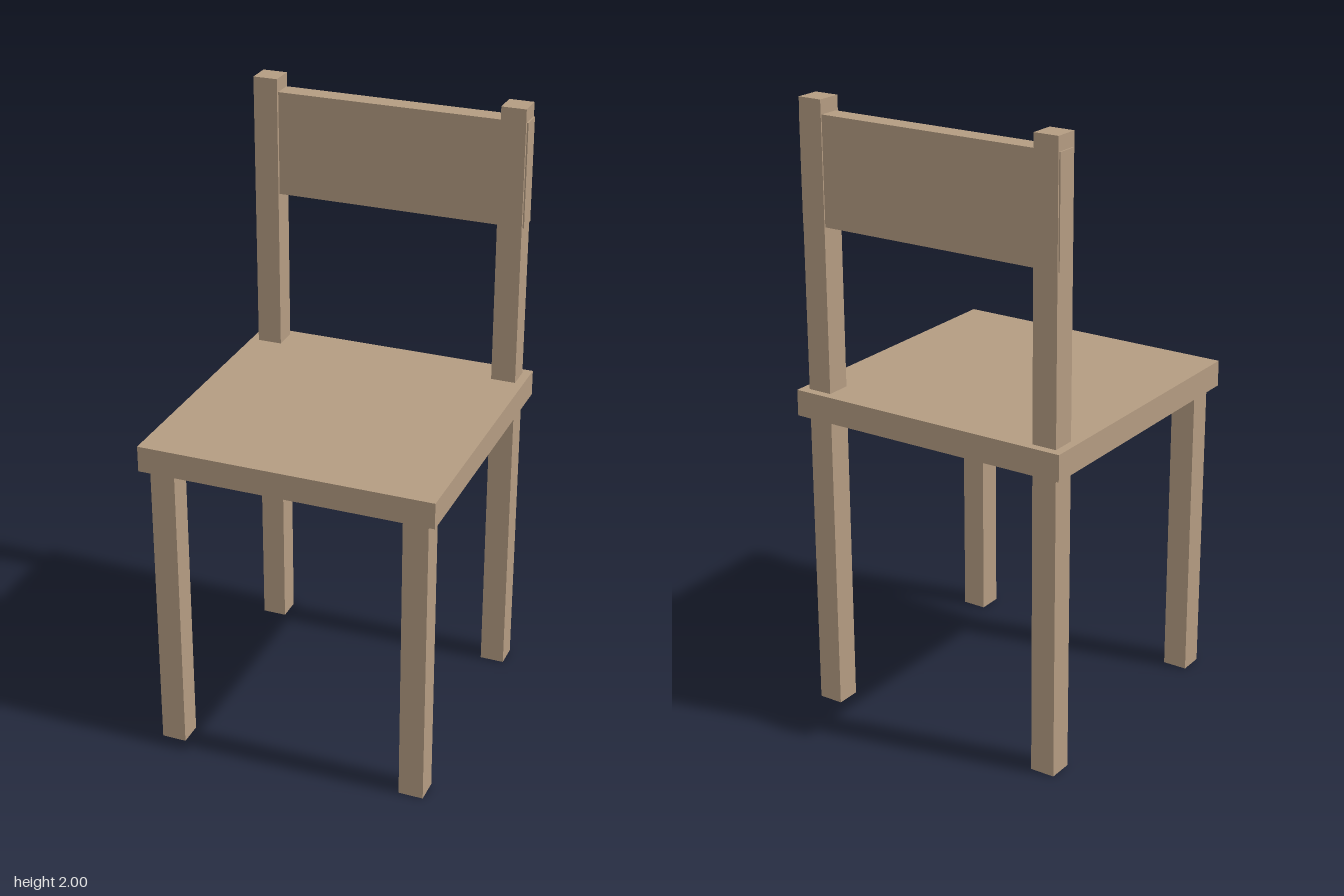
import * as THREE from 'three';

export function createModel() {
  const chair = new THREE.Group();
  chair.name = 'chair';
  const wood = new THREE.MeshStandardMaterial({ color: 0xb49c82 });
  wood.name = 'light wood';

  // Box given by its size and its lower and upper height
  function board(name, width, depth, y0, y1, x, z) {
    const mesh = new THREE.Mesh(new THREE.BoxGeometry(width, y1 - y0, depth), wood);
    mesh.name = name;
    mesh.position.set(x, (y0 + y1) / 2, z);
    chair.add(mesh);
  }

  const seatBottom = 0.995, seatTop = 1.08;
  const legWidth = 0.081, legOffset = 0.413;

  board('seat', 0.962, 0.962, seatBottom, seatTop, 0, 0);

  // Four legs, with the back posts rising above the seat
  for (const [side, x] of [['left', legOffset], ['right', -legOffset]]) {
    board(side + 'FrontLeg', legWidth, legWidth, 0, seatBottom, x, legOffset + 0.002);
    board(side + 'BackLeg', legWidth, legWidth, 0, seatBottom, x, -legOffset);
    board(side + 'BackPost', legWidth, legWidth, seatTop, 2, x, -legOffset);
  }

  // Wide slat whose ends stand slightly proud of the posts
  board('backrest', 0.916, 0.067, 1.612, 1.955, 0, -0.416);

  return chair;
}
